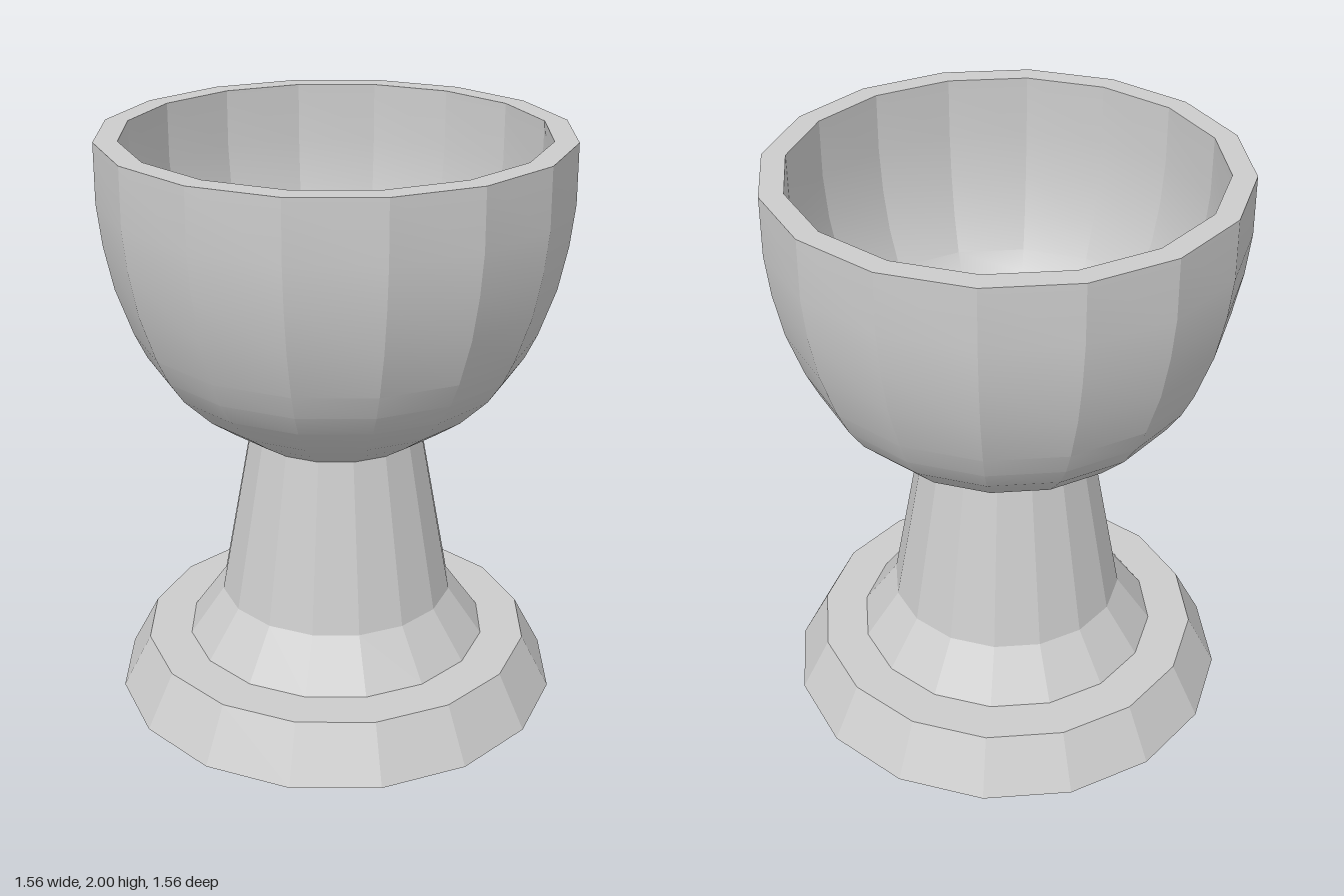
import * as THREE from 'three';
import { toCreasedNormals } from 'three/addons/utils/BufferGeometryUtils.js';

const SIDES = 16;

export function createModel() {
  const group = new THREE.Group();
  const stone = new THREE.MeshStandardMaterial({ color: 0xcccccc });
  stone.name = 'pale grey';

  // Turns an (r, y) profile into a faceted ring; creases below the angle stay smooth
  const turn = (name, profile, crease) => {
    const points = profile.map(([r, y]) => new THREE.Vector2(r, y));
    const geometry = toCreasedNormals(new THREE.LatheGeometry(points, SIDES), crease);
    const mesh = new THREE.Mesh(geometry, stone);
    mesh.name = name;
    group.add(mesh);
  };

  // Closed foot with a sloping edge and flat ledge
  turn('foot', [[0, 0], [0.78, 0], [0.68, 0.19], [0.53, 0.19]], 0.1);

  // Flared collar and tapering stem
  turn('stem', [[0.53, 0.19], [0.41, 0.36], [0.3, 0.96]], 0.1);

  // Bowl: outer wall up to the rim, then down the inside to the floor
  turn('bowl', [
    [0.3, 0.96], [0.4, 1.025], [0.49, 1.09], [0.59, 1.19], [0.64, 1.265], [0.68, 1.35],
    [0.735, 1.51], [0.765, 1.66], [0.78, 1.8], [0.778, 2],
    [0.7, 2], [0.7, 1.8], [0.685, 1.65], [0.655, 1.51], [0.605, 1.38], [0.565, 1.31],
    [0.51, 1.24], [0.43, 1.175], [0.33, 1.125], [0.18, 1.075], [0, 1.04],
  ], 0.36);

  return group;
}
